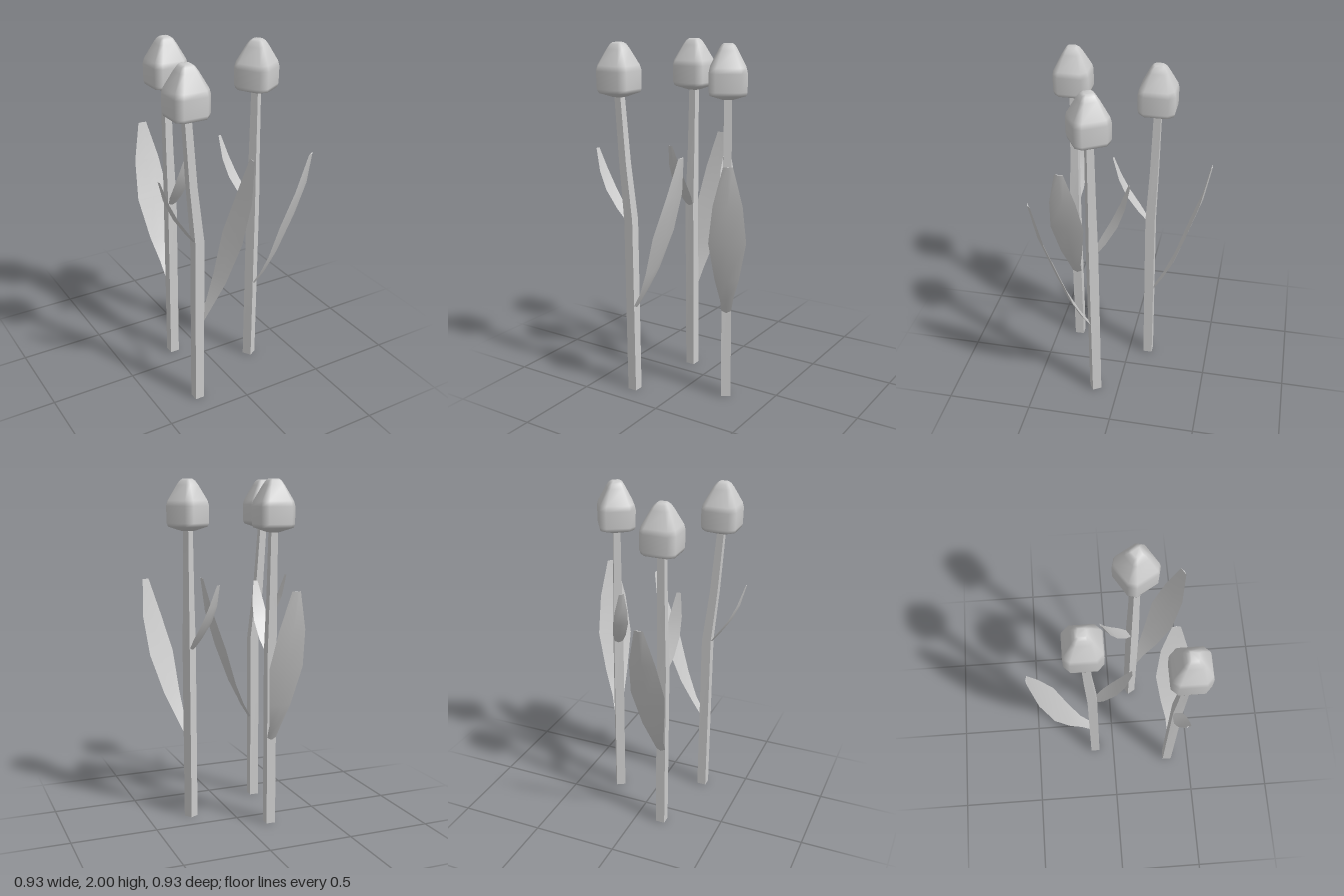
import * as THREE from 'three';
import { mergeVertices, toCreasedNormals } from 'three/addons/utils/BufferGeometryUtils.js';

const material = new THREE.MeshStandardMaterial({ color: 0xcccccc, side: THREE.DoubleSide });

// Skin a list of equal-length rings and cap both ends
function loft(rings, crease) {
  const n = rings[0].length, last = (rings.length - 1) * n, index = [];
  for (let i = 0; i < rings.length - 1; i++) {
    for (let j = 0; j < n; j++) {
      const a = i * n + j, b = i * n + (j + 1) % n;
      index.push(a, a + n, b, b, a + n, b + n);
    }
  }
  for (let j = 1; j < n - 1; j++) {
    index.push(0, j, j + 1, last, last + j + 1, last + j);
  }
  const geometry = new THREE.BufferGeometry();
  geometry.setAttribute('position', new THREE.Float32BufferAttribute(rings.flat(2), 3));
  geometry.setIndex(index);
  if (crease) return toCreasedNormals(geometry, crease);
  const smooth = mergeVertices(geometry);
  smooth.computeVertexNormals();
  return smooth;
}

function addMesh(group, name, geometry) {
  const mesh = new THREE.Mesh(geometry, material);
  mesh.name = name;
  group.add(mesh);
  return mesh;
}

// Square stem that leans along x above the upper leaf
function stemGeometry(lean) {
  const levels = [[0, 0, 0.0275], [1.03, 0, 0.0275], [1.35, 0.55, 0.023], [1.73, 1, 0.02]];
  return loft(levels.map(([y, t, h]) =>
    [[h, -h], [h, h], [-h, h], [-h, -h]].map(([x, z]) => [x + lean * t, y, z])), 0.9);
}

// Flower head: square rings with cut corners, tapering to a small flat top
function headGeometry() {
  const levels = [
    [1.71, 0.03], [1.735, 0.095], [1.755, 0.101], [1.85, 0.102], [1.88, 0.095],
    [1.965, 0.052], [1.99, 0.037], [2, 0.024],
  ];
  return loft(levels.map(([y, h]) => {
    const c = h * 0.66;
    return [[h, -c], [h, c], [c, h], [-c, h], [-h, c], [-h, -c], [-c, -h], [c, -h]]
      .map(([x, z]) => [x, y, z]);
  }));
}

// Thin cupped blade; each station is [distance out, height, half width]
function leafGeometry(stations) {
  const rings = stations.map(([x, y, w], i) => {
    const p = stations[Math.max(i - 1, 0)];
    const q = stations[Math.min(i + 1, stations.length - 1)];
    const length = Math.hypot(q[0] - p[0], q[1] - p[1]);
    const nx = (q[1] - p[1]) / length, ny = -(q[0] - p[0]) / length;
    const k = Math.min(1, w / 0.04);
    return [[0.007 * k, 0], [-0.004 * k, w], [-0.003 * k, 0], [-0.004 * k, -w]]
      .map(([d, z]) => [x + nx * d, y + ny * d, z]);
  });
  return loft(rings, 1.2);
}

const largeLeaf = [
  [0.02, 0.51, 0.026], [0.08, 0.61, 0.036], [0.145, 0.75, 0.066],
  [0.223, 0.98, 0.1], [0.295, 1.2, 0.077], [0.34, 1.415, 0.025],
];
const smallLeaf = [
  [0.018, 1.02, 0.02], [0.07, 1.09, 0.038], [0.138, 1.19, 0.044],
  [0.185, 1.29, 0.036], [0.222, 1.415, 0.013],
];

function createFlower(name, x, z, angle, lean) {
  const flower = new THREE.Group();
  flower.name = name;
  addMesh(flower, 'stem', stemGeometry(lean));
  addMesh(flower, 'flowerHead', headGeometry()).position.x = lean;
  addMesh(flower, 'largeLeaf', leafGeometry(largeLeaf));
  addMesh(flower, 'smallLeaf', leafGeometry(smallLeaf)).rotation.y = Math.PI;
  flower.position.set(x, 0, z);
  flower.rotation.y = THREE.MathUtils.degToRad(angle);
  return flower;
}

export function createModel() {
  const model = new THREE.Group();
  model.name = 'flowers';
  model.add(
    createFlower('backFlower', -0.157, -0.122, 90, 0.029),
    createFlower('frontFlower', -0.25, 0.357, 0, -0.06),
    createFlower('leftFlower', 0.243, 0.141, -59, 0),
  );
  return model;
}
